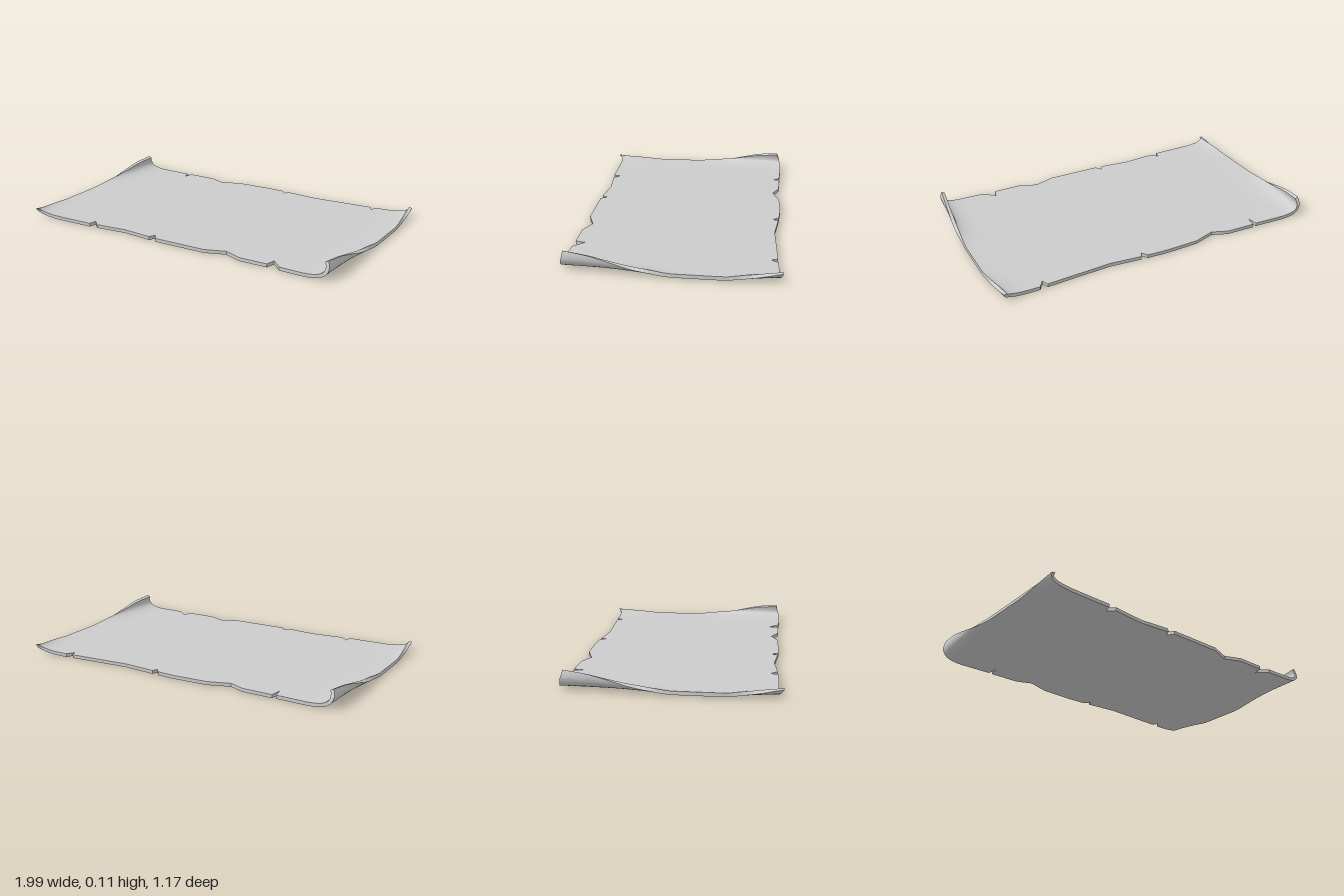
import * as THREE from 'three';
import { mergeGeometries, toCreasedNormals } from 'three/addons/utils/BufferGeometryUtils.js';

const THICK = 0.02, FLAT = 0.8, ROWS = 24;

// Torn long edges as [x, z], with nicks
const FRONT = [[-1, 0.582], [-0.96, 0.565], [-0.9, 0.557], [-0.595, 0.555], [-0.585, 0.51], [-0.545, 0.55],
  [-0.35, 0.533], [-0.17, 0.552], [-0.15, 0.515], [-0.125, 0.556], [0.2, 0.556], [0.32, 0.515], [0.42, 0.556],
  [0.59, 0.556], [0.605, 0.5], [0.665, 0.56], [0.8, 0.565], [0.92, 0.56], [1, 0.545]];
const BACK = [[-1, -0.545], [-0.95, -0.56], [-0.88, -0.57], [-0.8, -0.57], [-0.62, -0.562], [-0.61, -0.5],
  [-0.597, -0.565], [-0.42, -0.56], [-0.33, -0.523], [-0.2, -0.564], [0, -0.57], [0.12, -0.563], [0.145, -0.528],
  [0.16, -0.56], [0.35, -0.54], [0.73, -0.56], [0.745, -0.522], [0.775, -0.564], [0.92, -0.568], [1, -0.588]];

// Curl of a short end along its width: [z, end x, end height, bend x]
const CURL = [[-0.59, 0.978, 0.052, 0.975], [-0.45, 0.988, 0.033, 0.96], [-0.3, 0.994, 0.015, 0.93],
  [0, 0.986, 0.016, 0.93], [0.2, 0.972, 0.045, 0.95], [0.42, 0.945, 0.092, 0.97], [0.56, 0.924, 0.105, 0.97]];

// Piecewise linear lookup of column k
function lookup(table, x, k = 1) {
  let i = 1;
  while (i < table.length - 1 && x > table[i][0]) i++;
  const a = table[i - 1], b = table[i];
  const t = THREE.MathUtils.clamp((x - a[0]) / (b[0] - a[0]), 0, 1);
  return a[k] + (b[k] - a[k]) * t;
}

// Point on the sheet: s along x, v from back to front, h = -1 underside, +1 upper side
function sheetPoint(s, v, h) {
  const back = lookup(BACK, s), z = back + (lookup(FRONT, s) - back) * v;
  const half = THICK / 2, side = Math.sign(s) || 1, a = Math.abs(s);
  if (a <= FLAT) return [s, half + h * half, z];
  // The two ends curl alike, turned half way round
  const t = (a - FLAT) / (1 - FLAT), r = 1 - t, w = z * side;
  const ex = lookup(CURL, w, 1), ey = lookup(CURL, w, 2), bx = lookup(CURL, w, 3);
  const x = r * r * FLAT + 2 * r * t * bx + t * t * ex;
  const y = (1 - t * t) * half + t * t * ey;
  const dx = 2 * r * (bx - FLAT) + 2 * t * (ex - bx), dy = 2 * t * (ey - half);
  const len = Math.hypot(dx, dy);
  return [side * (x - h * half * dy / len), Math.max(0, y + h * half * dx / len), z];
}

// Surface through f(u, v), facing dv x du
function patch(us, vs, f) {
  const pos = [], idx = [], n = vs.length;
  us.forEach((u, i) => vs.forEach((v, j) => {
    pos.push(...f(u, v));
    if (i && j) {
      const d = i * n + j, c = d - 1, b = d - n, a = b - 1;
      idx.push(a, b, c, b, d, c);
    }
  }));
  const g = new THREE.BufferGeometry();
  g.setAttribute('position', new THREE.Float32BufferAttribute(pos, 3));
  g.setIndex(idx);
  return g;
}

export function createModel() {
  const group = new THREE.Group();
  group.name = 'parchment';

  // Columns at every outline corner, closer together in the curls
  const cols = new Set([...FRONT, ...BACK].map(p => p[0]));
  for (let i = 0; i <= 10; i++) {
    const s = +(FLAT + i * 0.02).toFixed(2);
    cols.add(s).add(-s);
  }
  const S = [...cols].sort((a, b) => a - b);
  const V = Array.from({ length: ROWS + 1 }, (_, i) => i / ROWS);
  const H = [-1, 1];

  // Upper side, underside and the four rims
  const parts = [
    patch(S, V, (s, v) => sheetPoint(s, v, 1)),
    patch(V, S, (v, s) => sheetPoint(s, v, -1)),
    patch(H, S, (h, s) => sheetPoint(s, 1, h)),
    patch(S, H, (s, h) => sheetPoint(s, 0, h)),
    patch(V, H, (v, h) => sheetPoint(1, v, h)),
    patch(H, V, (h, v) => sheetPoint(-1, v, h)),
  ];
  const sheet = new THREE.Mesh(
    toCreasedNormals(mergeGeometries(parts), 0.6),
    new THREE.MeshStandardMaterial({ color: 0xcccccc }));
  sheet.name = 'curledSheet';
  group.add(sheet);
  return group;
}
